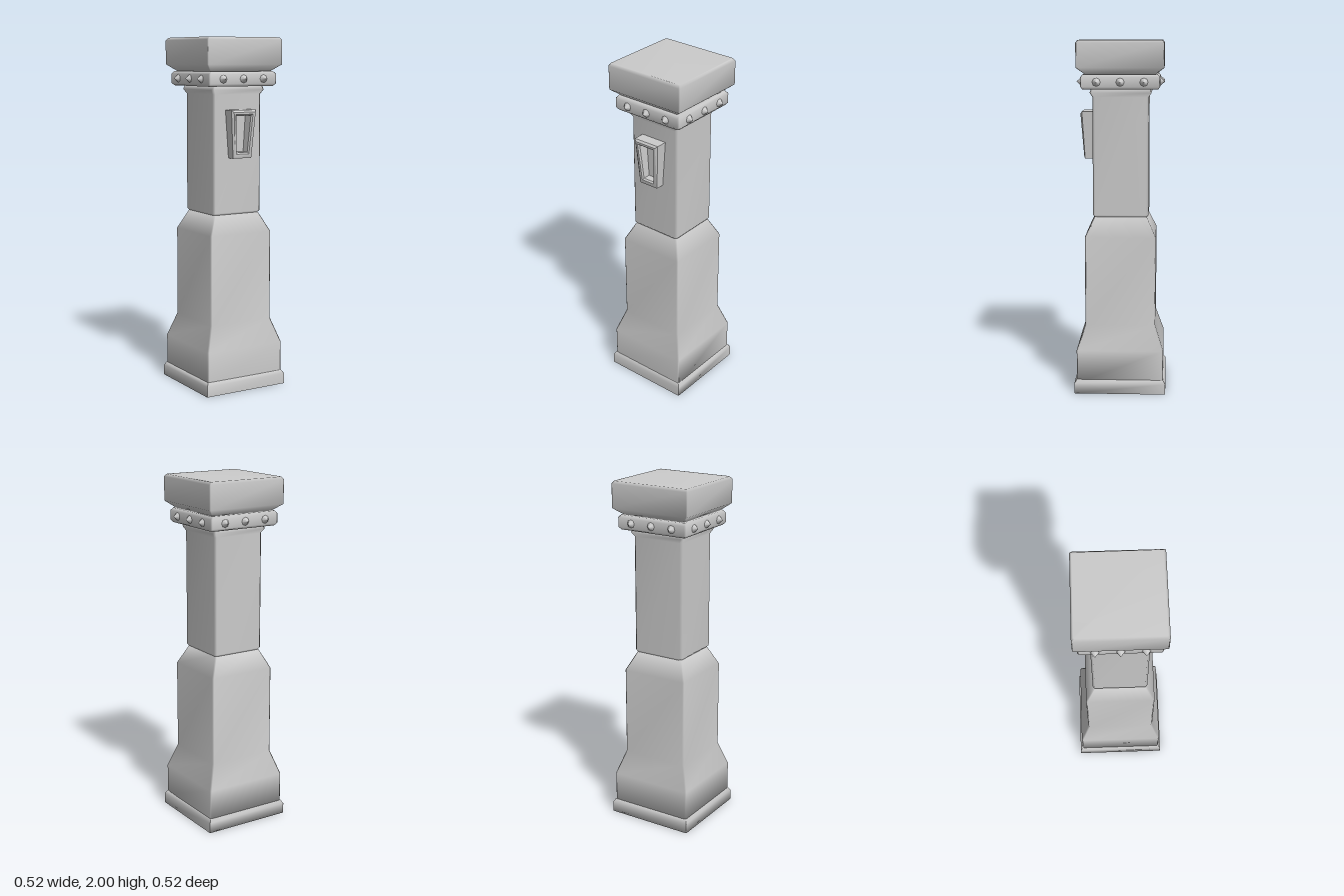
import * as THREE from 'three';
import { toCreasedNormals } from 'three/addons/utils/BufferGeometryUtils.js';

const material = new THREE.MeshStandardMaterial({ color: 0xcccccc });

// Skin a series of equal-length rings, with optional flat ends.
function loft(rings, capStart, capEnd) {
  const n = rings[0].length;
  const index = [];
  for (let r = 0; r < rings.length - 1; r++) {
    for (let i = 0; i < n; i++) {
      const j = (i + 1) % n;
      const a = r * n + i, b = r * n + j, c = a + n, d = b + n;
      index.push(a, b, d, a, d, c);
    }
  }
  const last = (rings.length - 1) * n;
  for (let i = 1; i < n - 1; i++) {
    if (capStart) index.push(0, i + 1, i);
    if (capEnd) index.push(last, last + i, last + i + 1);
  }
  const geometry = new THREE.BufferGeometry();
  geometry.setAttribute('position', new THREE.Float32BufferAttribute(rings.flat(2), 3));
  geometry.setIndex(index);
  geometry.computeVertexNormals();
  return geometry;
}

// Square ring of half width w at height y, with corners cut by c.
function squareRing(w, y, c) {
  const k = w - c;
  return [[w, y, k], [w, y, -k], [k, y, -w], [-k, y, -w],
    [-w, y, -k], [-w, y, k], [-k, y, w], [k, y, w]];
}

// Square block from a profile of [half width, height] pairs.
function squareBlock(name, profile, cut) {
  const geometry = loft(profile.map(([w, y]) => squareRing(w, y, cut)), true, true);
  const mesh = new THREE.Mesh(geometry, material);
  mesh.name = name;
  return mesh;
}

// Tapered ring facing the front; z leans forward towards the top.
function frameRing(inset, depth, lean) {
  const top = 1.6 - inset, bottom = 1.33 + inset;
  const wt = 0.08 - inset, wb = 0.06 - inset * 0.8;
  const zt = depth + lean, zb = depth;
  return [[-wb, bottom, zb], [wb, bottom, zb], [wt, top, zt], [-wt, top, zt]];
}

export function createModel() {
  const group = new THREE.Group();
  group.name = 'pillar';

  // Stacked square sections
  group.add(
    squareBlock('plinth', [[0.26, 0], [0.26, 0.06], [0.247, 0.08]], 0.002),
    squareBlock('lowerBody', [[0.247, 0.06], [0.247, 0.25], [0.2, 0.39],
      [0.2, 0.9], [0.145, 1.015]], 0.008),
    squareBlock('shaft', [[0.145, 1.005], [0.157, 1.02], [0.157, 1.685],
      [0.172, 1.71], [0.163, 1.735]], 0.012),
    squareBlock('collar', [[0.208, 1.73], [0.22, 1.744], [0.22, 1.797], [0.208, 1.812]], 0.008),
    squareBlock('capital', [[0.19, 1.808], [0.243, 1.85], [0.243, 1.985], [0.232, 2]], 0.006),
  );

  // Pointed studs, three on each side of the collar
  const studs = new THREE.Group();
  studs.name = 'collarStuds';
  const studGeometry = new THREE.ConeGeometry(0.025, 0.029, 8);
  studGeometry.rotateX(Math.PI / 2);
  for (let side = 0; side < 4; side++) {
    const row = new THREE.Group();
    row.name = 'studRow';
    row.rotation.y = side * Math.PI / 2;
    for (const x of [-0.131, 0, 0.131]) {
      const stud = new THREE.Mesh(studGeometry, material);
      stud.name = 'stud';
      stud.position.set(x, 1.771, 0.2325);
      row.add(stud);
    }
    studs.add(row);
  }
  group.add(studs);

  // Raised tapered frame with a recessed panel on the front
  const frameGeometry = loft([
    frameRing(0, 0.15, 0),
    frameRing(0, 0.206, 0.016),
    frameRing(0.012, 0.212, 0.019),
    frameRing(0.024, 0.212, 0.018),
    frameRing(0.032, 0.204, 0.016),
    frameRing(0.034, 0.163, 0),
  ], false, true);
  const frame = new THREE.Mesh(toCreasedNormals(frameGeometry, 0.6), material);
  frame.name = 'frontFrame';
  group.add(frame);

  return group;
}
